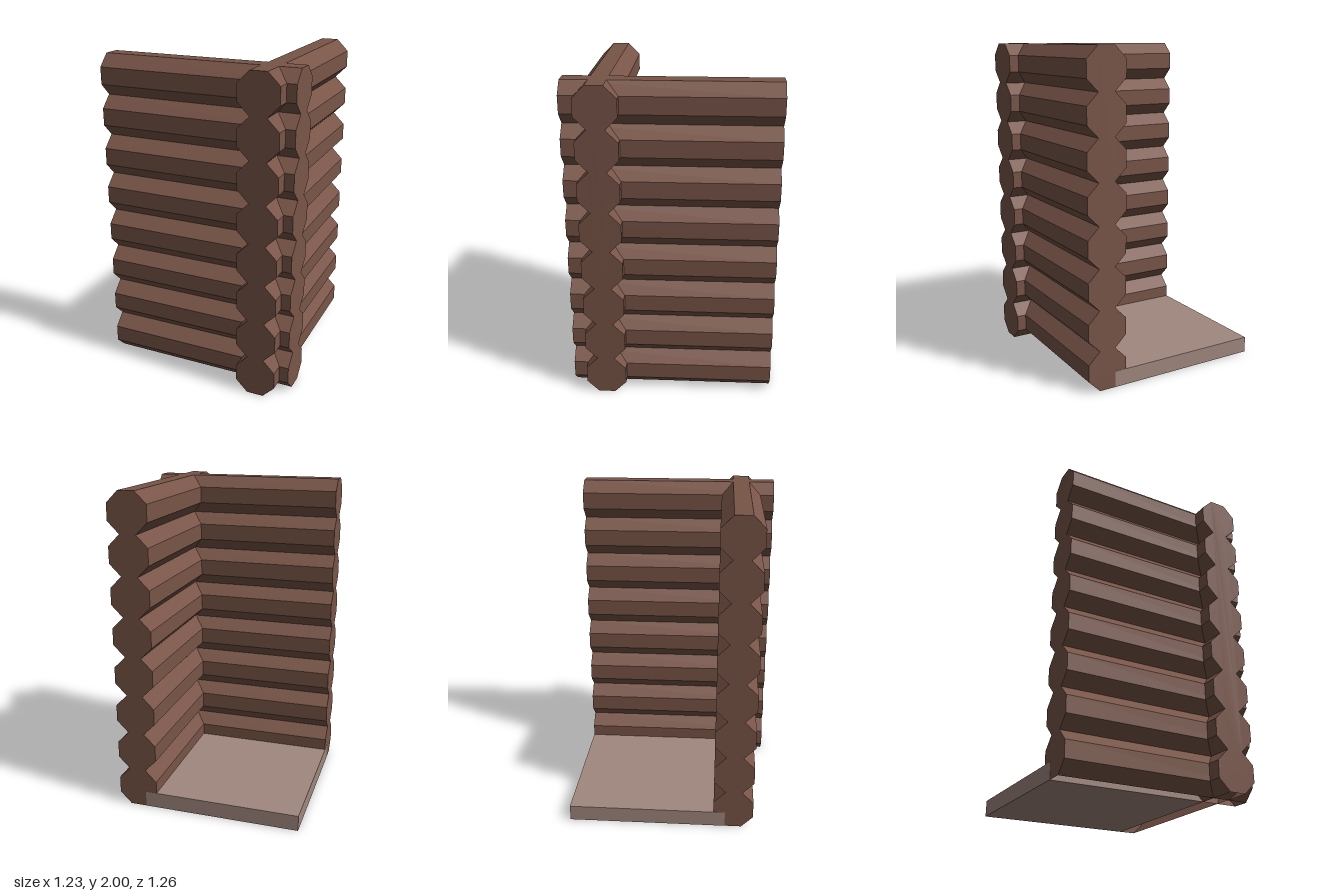
import * as THREE from 'three';

const LOGS = 8, PITCH = 0.25, R = 0.125, FLAT = 0.052;

// Outline of stacked octagonal logs, from bottom right, over the top, to bottom left
function logOutline() {
  const right = [new THREE.Vector2(FLAT, 0)];
  for (let i = 0; i < LOGS; i++) {
    const y = i * PITCH;
    right.push(
      new THREE.Vector2(R, y + R - FLAT),
      new THREE.Vector2(R, y + R + FLAT),
      new THREE.Vector2(FLAT, y + PITCH)
    );
  }
  const left = right.map(p => new THREE.Vector2(-p.x, p.y)).reverse();
  return [...right, ...left];
}

// Log wall running along z, with end caps and an open underside
function logWall(name, length, material) {
  const wall = new THREE.Group();
  wall.name = name;
  const outline = logOutline(), h = length / 2, pos = [];
  for (let i = 0; i < outline.length - 1; i++) {
    const p = outline[i], q = outline[i + 1];
    pos.push(p.x, p.y, -h, q.x, q.y, -h, q.x, q.y, h);
    pos.push(p.x, p.y, -h, q.x, q.y, h, p.x, p.y, h);
  }
  const sides = new THREE.BufferGeometry();
  sides.setAttribute('position', new THREE.Float32BufferAttribute(pos, 3));
  sides.computeVertexNormals();
  const logs = new THREE.Mesh(sides, material);
  logs.name = 'logs';
  wall.add(logs);

  const capGeometry = new THREE.ShapeGeometry(new THREE.Shape(outline));
  for (const s of [1, -1]) {
    const cap = new THREE.Mesh(capGeometry, material);
    cap.name = 'logEnds';
    cap.position.z = s * h;
    if (s < 0) cap.rotation.y = Math.PI;
    wall.add(cap);
  }
  return wall;
}

export function createModel() {
  const model = new THREE.Group();
  model.name = 'logCabinCorner';

  const wood = new THREE.MeshStandardMaterial({ color: 0x795548, side: THREE.DoubleSide });
  wood.name = 'brown wood';
  const boards = new THREE.MeshStandardMaterial({ color: 0xa1887f });
  boards.name = 'pale floor';

  // Two walls crossing at the front left corner
  const sideWall = logWall('sideWall', 1.258, wood);
  sideWall.position.x = 0.43;
  const frontWall = logWall('frontWall', 1.228, wood);
  frontWall.rotation.y = Math.PI / 2;
  frontWall.position.z = 0.415;
  model.add(sideWall, frontWall);

  // Floor slab reaching under the log bevels
  const x0 = -0.615, x1 = 0.378, z0 = -0.63, z1 = 0.363, t = 0.1;
  const floor = new THREE.Mesh(new THREE.BoxGeometry(x1 - x0, t, z1 - z0), boards);
  floor.name = 'floor';
  floor.position.set((x0 + x1) / 2, t / 2, (z0 + z1) / 2);
  model.add(floor);

  return model;
}
